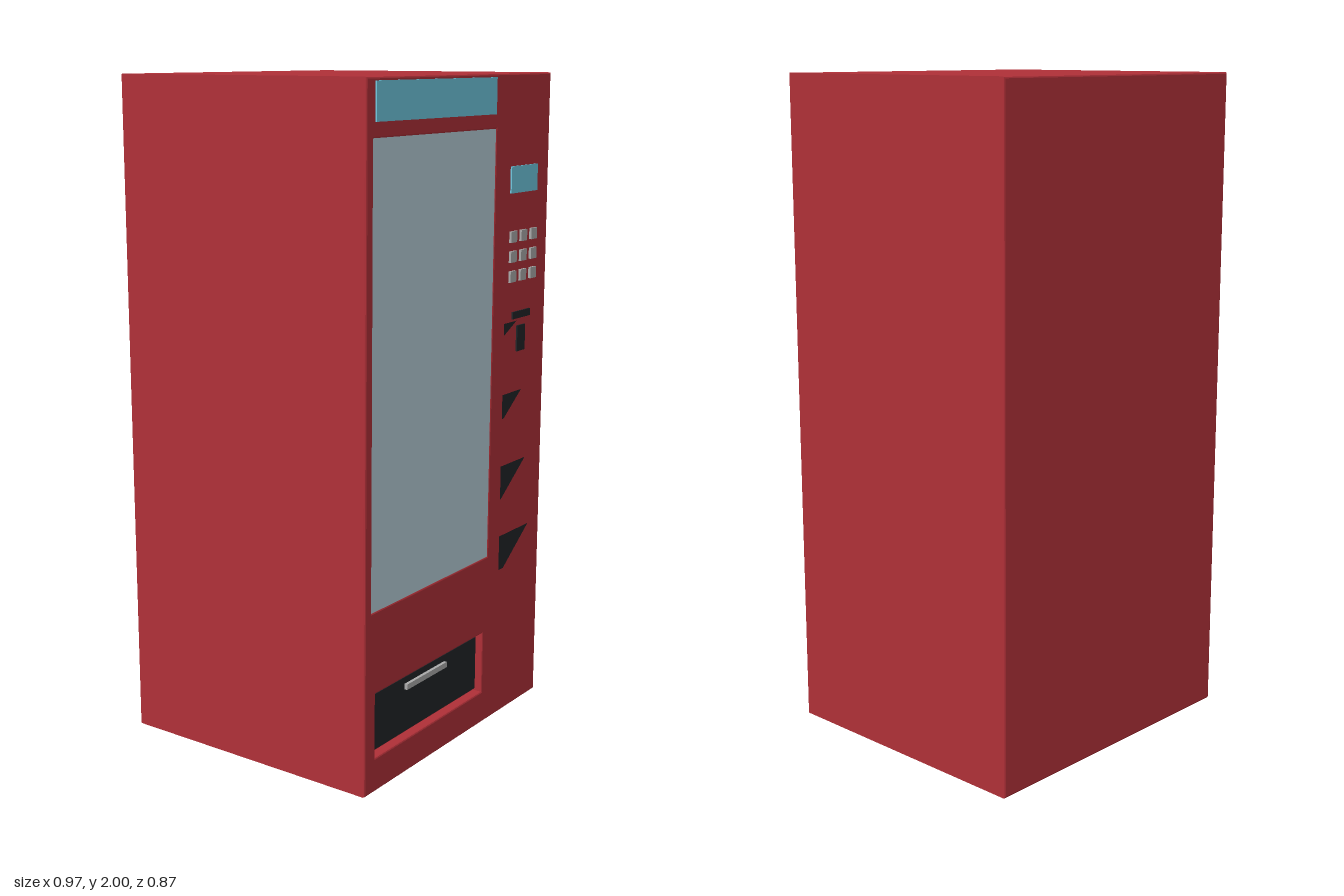
import * as THREE from 'three';

const mat = (color) => new THREE.MeshStandardMaterial({ color });

export function createModel() {
  const group = new THREE.Group();
  const red = mat(0xb03038), dark = mat(0x202428), grey = mat(0xaaaaaa);
  const cyan = mat(0x70c8e0), glass = mat(0xb8d0da);

  const add = (name, geometry, material) => {
    const mesh = new THREE.Mesh(geometry, material);
    mesh.name = name;
    group.add(mesh);
    return mesh;
  };
  // Box given by its limits on each axis
  const box = (name, x0, x1, y0, y1, z0, z1, material) =>
    add(name, new THREE.BoxGeometry(x1 - x0, y1 - y0, z1 - z0), material)
      .position.set((x0 + x1) / 2, (y0 + y1) / 2, (z0 + z1) / 2);

  const rect = (target, x0, x1, y0, y1) => target
    .moveTo(x0, y0).lineTo(x1, y0).lineTo(x1, y1).lineTo(x0, y1).closePath();

  // Bevelled slab with the cabinet outline and optional openings
  const B = 0.005;
  const slab = (name, z0, z1, holes) => {
    const shape = rect(new THREE.Shape(), -0.485, 0.485, 0, 2);
    for (const h of holes) shape.holes.push(rect(new THREE.Path(), ...h));
    const geo = new THREE.ExtrudeGeometry(shape, {
      depth: z1 - z0 - 2 * B, bevelThickness: B, bevelSize: B,
      bevelOffset: -B, bevelSegments: 2,
    });
    add(name, geo.translate(0, 0, z0 + B), red);
  };

  // Cabinet, with a front frame around the window and delivery openings
  const F = 0.426;
  slab('cabinet', -0.437, 0.395, []);
  slab('frontFrame', 0.36, F, [
    [-0.452, 0.167, 0.543, 1.842],
    [-0.432, 0.147, 0.103, 0.297],
  ]);

  // Window and lit sign
  box('window', -0.455, 0.17, 0.54, 1.845, 0.39, F - 0.002, glass);
  box('sign', -0.445, 0.16, 1.885, 1.99, 0.41, 0.431, cyan);

  // Delivery flap with handle
  box('deliveryFlap', -0.435, 0.15, 0.11, 0.28, 0.39, 0.402, dark);
  box('flapHandle', -0.25, -0.035, 0.243, 0.26, 0.4, 0.412, grey);

  // Display and keypad
  box('display', 0.255, 0.41, 1.65, 1.73, 0.41, 0.431, cyan);
  for (let row = 0; row < 3; row++) {
    for (let col = 0; col < 3; col++) {
      const x = 0.273 + col * 0.06, y = 1.4 + row * 0.06;
      box('keypadButton', x - 0.017, x + 0.017, y - 0.017, y + 0.017, 0.41, 0.434, grey);
    }
  }

  // Payment slots
  box('noteSlot', 0.28, 0.385, 1.268, 1.29, 0.41, 0.431, dark);
  box('coinSlot', 0.31, 0.357, 1.165, 1.245, 0.41, 0.431, dark);

  // Flush dark wedges down the control side: right end, top, bottom, flat foot
  for (const [x1, top, bottom, foot] of [
    [0.31, 1.26, 1.225, 0.24], [0.348, 1.04, 0.965, 0.245],
    [0.382, 0.815, 0.71, 0.24], [0.412, 0.59, 0.48, 0.262],
  ]) {
    const wedge = new THREE.Shape()
      .moveTo(0.235, bottom).lineTo(foot, bottom).lineTo(x1, top).lineTo(0.235, top).closePath();
    add('controlWedge', new THREE.ShapeGeometry(wedge), dark).position.z = F + 0.001;
  }

  return group;
}
